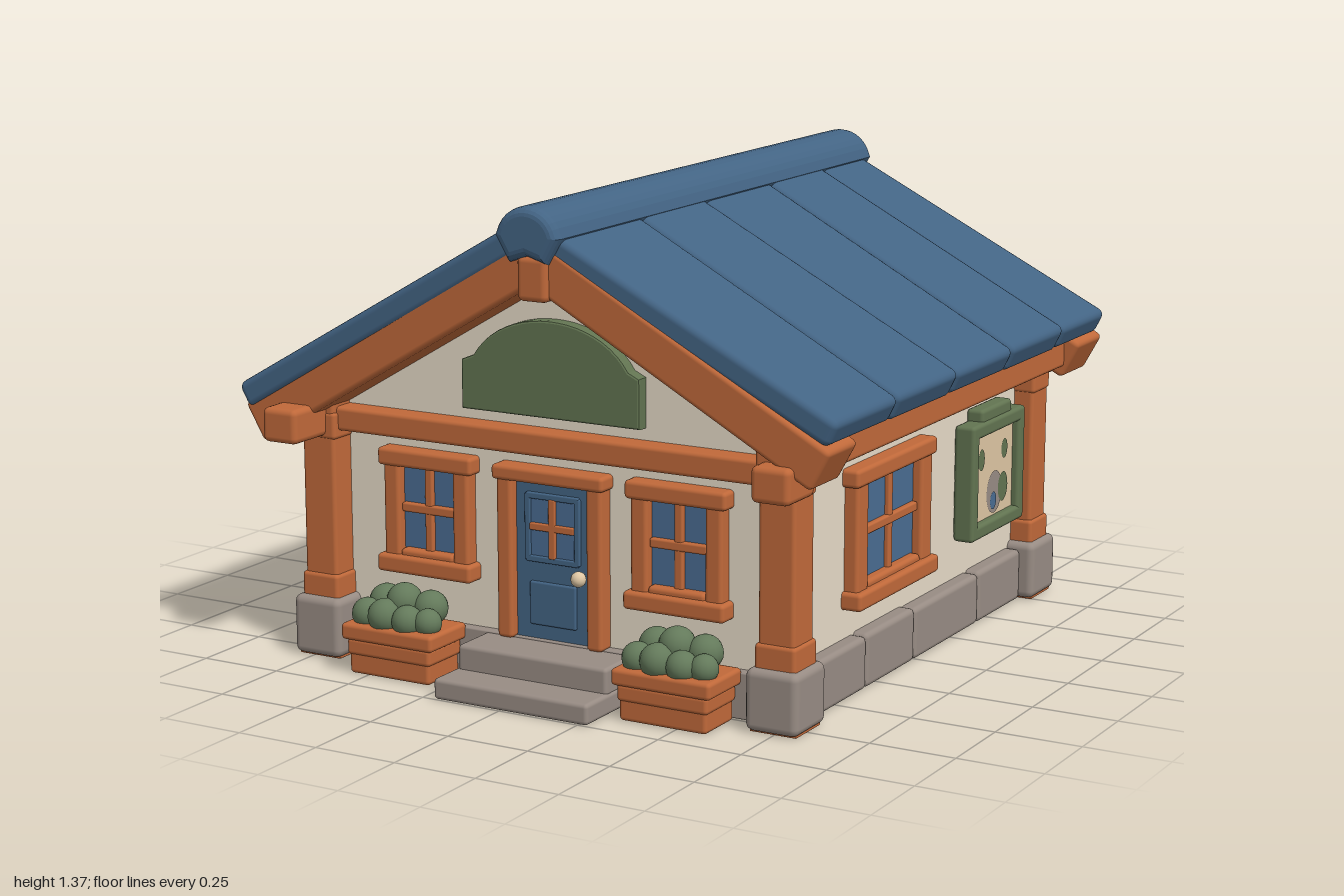
import * as THREE from 'three';
import { RoundedBoxGeometry } from 'three/addons/geometries/RoundedBoxGeometry.js';

const mat = (name, color) => {
  const m = new THREE.MeshStandardMaterial({ color });
  m.name = name;
  return m;
};

export function createModel() {
  const blue = mat('slate blue', 0x436484);
  const glassBlue = mat('glass blue', 0x4a6c92);
  const wood = mat('orange wood', 0xc0693a);
  const plaster = mat('cream plaster', 0xe8dcc9);
  const stone = mat('grey stone', 0x988c84);
  const green = mat('painted green', 0x627451);
  const leaf = mat('leaf green', 0x647a5b);
  const tan = mat('tan panel', 0xdec7a4);

  const house = new THREE.Group();
  house.name = 'cottage';

  const add = (parent, name, geometry, material) => {
    const m = new THREE.Mesh(geometry, material);
    m.name = name;
    parent.add(m);
    return m;
  };
  // Rounded block given by its limits
  const block = (parent, name, material, x0, x1, y0, y1, z0, z1, r = 0.012) => {
    const w = x1 - x0, h = y1 - y0, d = z1 - z0;
    const g = new RoundedBoxGeometry(w, h, d, 2, Math.min(r, Math.min(w, h, d) * 0.45));
    const m = add(parent, name, g, material);
    m.position.set((x0 + x1) / 2, (y0 + y1) / 2, (z0 + z1) / 2);
    return m;
  };
  // Sloping board between two points of the gable plane
  const slope = (name, material, a, b, thick, z0, z1, r) => {
    const len = Math.hypot(b[0] - a[0], b[1] - a[1]);
    const m = block(house, name, material, -len / 2, len / 2, -thick / 2, thick / 2, z0, z1, r);
    m.position.x = (a[0] + b[0]) / 2;
    m.position.y = (a[1] + b[1]) / 2;
    m.rotation.z = Math.atan2(b[1] - a[1], b[0] - a[0]);
    return m;
  };
  const group = (name, x, y, z, turn = 0) => {
    const g = new THREE.Group();
    g.name = name;
    g.position.set(x, y, z);
    g.rotation.y = turn;
    house.add(g);
    return g;
  };

  // Walls with both gables
  const wall = new THREE.Shape([
    [-0.74, 0.05], [0.74, 0.05], [0.74, 0.88], [0.03, 1.25], [-0.74, 0.81],
  ].map(p => new THREE.Vector2(...p)));
  add(house, 'walls', new THREE.ExtrudeGeometry(wall, { depth: 1.52, bevelEnabled: false }), plaster)
    .position.z = -0.8;

  // Foundation: core, side blocks, back blocks
  block(house, 'foundationCore', stone, -0.76, 0.76, 0.003, 0.135, -0.82, 0.75, 0.005);
  const sideCuts = [0.66, 0.33, 0.02, -0.42, -0.73];
  const backCuts = [-0.68, -0.36, 0.02, 0.36, 0.68];
  for (let i = 0; i < 4; i++) {
    for (const s of [-1, 1]) {
      const x = s * 0.745;
      block(house, 'foundationSideStone', stone, x - 0.04, x + 0.04, 0.002, 0.155 + (i % 2) * 0.004,
        sideCuts[i + 1], sideCuts[i], 0.016);
    }
    block(house, 'foundationBackStone', stone, backCuts[i], backCuts[i + 1], 0.002, 0.155 + (i % 2) * 0.004,
      -0.85, -0.77, 0.016);
  }

  // Corner stones, posts and projecting beam ends
  for (const s of [-1, 1]) {
    for (const front of [true, false]) {
      const x = s * 0.738 + 0.008, z = front ? 0.745 : -0.815;
      block(house, 'postFoot', wood, x - 0.07, x + 0.07, 0, 0.02, z - 0.07, z + 0.07, 0.002);
      block(house, 'cornerStone', stone, x - 0.08, x + 0.08, 0.004, 0.178, z - 0.088, z + 0.088, 0.022);
      block(house, 'postBase', wood, x - 0.062, x + 0.062, 0.165, 0.245, z - 0.065, z + 0.065);
      block(house, 'post', wood, x - 0.055, x + 0.055, 0.2, 0.76, z - 0.057, z + 0.057);
      const reach = front ? (s < 0 ? 0.95 : 0.9) : -0.99;
      const lift = front ? 0 : 0.045;
      block(house, 'beamEnd', wood, x + s * 0.028 - 0.058, x + s * 0.028 + 0.058, 0.65 + lift, 0.75 + lift,
        Math.min(reach, z), Math.max(reach, z), 0.018);
      block(house, 'postHead', wood, x - 0.06, x + 0.06, 0.64, 0.72, z - 0.06, z + 0.06);
    }
  }
  block(house, 'frontTieBeam', wood, -0.7, 0.7, 0.665, 0.735, 0.7, 0.785);
  block(house, 'backTieBeam', wood, -0.7, 0.7, 0.67, 0.72, -0.85, -0.78);

  // Boxed eaves between wall and roof edge
  block(house, 'eaveBoxLeft', wood, 0.7, 0.885, 0.727, 0.815, -0.9, 0.84);
  block(house, 'eaveBoxRight', wood, -0.885, -0.7, 0.69, 0.775, -0.9, 0.84);

  // Gable boards and ridge beam ends
  for (const [z0, z1] of [[0.7, 0.868], [-0.975, -0.79]]) {
    slope('gableBoardRight', wood, [-0.905, 0.68], [0.04, 1.235], 0.125, z0, z1, 0.015);
    slope('gableBoardLeft', wood, [0.905, 0.745], [0.02, 1.23], 0.125, z0, z1, 0.015);
  }
  block(house, 'ridgeBeamFront', wood, -0.005, 0.09, 1.115, 1.24, 0.68, 0.885, 0.018);
  block(house, 'ridgeBeamBack', wood, -0.015, 0.09, 1.11, 1.24, -0.985, -0.78, 0.018);

  // Roof slabs: five per side, with seams that drift between eave and ridge
  const slabs = (name, eave, ridge, eaveCuts, ridgeCuts) => {
    for (let i = 0; i < 5; i++) {
      const m = slope(name, blue, eave, ridge, 0.08 + (i % 2) * 0.006, -0.5, 0.5, 0.022);
      const p = m.geometry.attributes.position;
      const half = Math.hypot(ridge[0] - eave[0], ridge[1] - eave[1]) / 2;
      for (let k = 0; k < p.count; k++) {
        const t = (p.getX(k) / half + 1) / 2;
        const z0 = THREE.MathUtils.lerp(eaveCuts[i], ridgeCuts[i], t);
        const z1 = THREE.MathUtils.lerp(eaveCuts[i + 1], ridgeCuts[i + 1], t);
        // Keep the rounded rim narrow while stretching the middle
        const z = p.getZ(k), mid = (z0 + z1) / 2, w = z1 - z0;
        p.setZ(k, mid + Math.sign(z) * (w / 2 - (0.5 - Math.abs(z))));
      }
    }
  };
  slabs('roofSlabRight', [-0.938, 0.752], [0.03, 1.31],
    [-0.965, -0.64, -0.265, 0.125, 0.48, 0.875], [-0.96, -0.665, -0.29, 0.1, 0.43, 0.87]);
  slabs('roofSlabLeft', [0.935, 0.842], [0.04, 1.29],
    [-0.955, -0.635, -0.265, 0.11, 0.49, 0.86], [-0.955, -0.67, -0.33, 0.07, 0.43, 0.865]);

  // Domed ridge cap, widest just above the slabs and narrowing beneath them
  const cap = new THREE.Shape();
  cap.moveTo(-0.042, 1.295);
  cap.bezierCurveTo(-0.02, 1.368, 0.085, 1.368, 0.106, 1.295);
  cap.lineTo(0.08, 1.25);
  cap.lineTo(0.03, 1.265);
  cap.lineTo(-0.015, 1.25);
  cap.closePath();
  add(house, 'ridgeCap', new THREE.ExtrudeGeometry(cap, {
    depth: 1.84, bevelThickness: 0.03, bevelSize: 0.025, bevelSegments: 4, curveSegments: 14,
  }), blue).position.z = -0.97;

  // Windows, built facing +z around their centre
  const makeWindow = (name, x, y, z, turn, w, h, bar) => {
    const g = group(name, x, y, z, turn);
    const a = w / 2, b = h / 2, e = 0.015;
    block(g, 'glass', glassBlue, -a + bar / 2, a - bar / 2, -b + 0.03, b - 0.03, 0, 0.012, 0.002);
    for (const s of [-1, 1]) {
      const c = s * (a - e - (bar - e) / 2), hw = (bar - e) / 2;
      block(g, 'jamb', wood, c - hw, c + hw, -b + 0.02, b - 0.02, -0.02, 0.042);
    }
    block(g, 'header', wood, -a, a, b - 0.052, b, -0.02, 0.05);
    block(g, 'sill', wood, -a, a, -b, -b + 0.052, -0.02, 0.06);
    block(g, 'innerSill', wood, -a + bar, a - bar, -b + 0.04, -b + 0.07, -0.02, 0.04);
    block(g, 'uprightBar', wood, -0.013, 0.013, -b + 0.04, b - 0.04, 0, 0.026, 0.006);
    block(g, 'crossBar', wood, -a + bar, a - bar, -0.005, 0.022, 0, 0.028, 0.006);
  };
  makeWindow('frontWindowRight', -0.393, 0.45, 0.72, 0, 0.315, 0.36, 0.068);
  makeWindow('frontWindowLeft', 0.417, 0.45, 0.72, 0, 0.315, 0.36, 0.068);
  makeWindow('sideWindowLeft', 0.74, 0.44, 0.15, Math.PI / 2, 0.51, 0.4, 0.085);
  makeWindow('sideWindowRightFront', -0.74, 0.44, 0.15, -Math.PI / 2, 0.51, 0.4, 0.085);
  makeWindow('sideWindowRightBack', -0.74, 0.44, -0.46, -Math.PI / 2, 0.38, 0.4, 0.075);

  // Door with frame, small window, lower panel and knob
  const door = group('door', 0.018, 0, 0.72);
  block(door, 'doorLeaf', blue, -0.125, 0.125, 0.13, 0.59, 0, 0.02, 0.005);
  block(door, 'doorGlass', glassBlue, -0.075, 0.075, 0.37, 0.54, 0.015, 0.023, 0.002);
  block(door, 'doorHeader', wood, -0.18, 0.18, 0.585, 0.628, -0.02, 0.06);
  for (const s of [-1, 1]) {
    block(door, 'doorJamb', wood, s * 0.145 - 0.025, s * 0.145 + 0.025, 0.13, 0.6, -0.02, 0.05);
    block(door, 'doorWindowSide', blue, s * 0.08 - 0.009, s * 0.08 + 0.009, 0.36, 0.55, 0.015, 0.03, 0.004);
    block(door, 'doorWindowRail', blue, -0.085, 0.085, 0.455 + s * 0.09 - 0.009, 0.455 + s * 0.09 + 0.009, 0.015, 0.03, 0.004);
  }
  block(door, 'doorUprightBar', wood, -0.011, 0.011, 0.37, 0.54, 0.015, 0.032, 0.004);
  block(door, 'doorCrossBar', wood, -0.072, 0.072, 0.447, 0.468, 0.015, 0.032, 0.004);
  block(door, 'doorPanel', blue, -0.075, 0.075, 0.175, 0.3, 0.015, 0.029, 0.006);
  add(door, 'doorKnob', new THREE.SphereGeometry(0.022, 16, 12), tan).position.set(0.095, 0.33, 0.045);

  // Blank arched gable sign
  const sign = new THREE.Shape();
  sign.moveTo(-0.262, 0.775);
  sign.lineTo(0.297, 0.775);
  sign.lineTo(0.297, 0.905);
  sign.lineTo(0.265, 0.92);
  sign.bezierCurveTo(0.17, 1.075, -0.13, 1.075, -0.225, 0.92);
  sign.lineTo(-0.262, 0.905);
  sign.closePath();
  add(house, 'gableSign', new THREE.ExtrudeGeometry(sign, {
    depth: 0.03, bevelThickness: 0.008, bevelSize: 0.006, bevelSegments: 2, curveSegments: 20,
  }), green).position.z = 0.72;

  // Notice board on the side wall
  const board = group('noticeBoard', 0.74, 0, -0.51, Math.PI / 2);
  block(board, 'boardBacking', green, -0.18, 0.18, 0.28, 0.61, -0.01, 0.035);
  block(board, 'boardPanel', tan, -0.147, 0.147, 0.305, 0.58, 0.03, 0.042, 0.003);
  for (const s of [-1, 1]) {
    block(board, 'boardSide', green, s * 0.165 - 0.022, s * 0.165 + 0.022, 0.27, 0.62, 0, 0.065);
    block(board, 'boardRail', green, -0.187, 0.187, 0.445 + s * 0.153 - 0.022, 0.445 + s * 0.153 + 0.022, 0, 0.065);
  }
  block(board, 'boardTop', green, -0.105, 0.105, 0.605, 0.655, 0, 0.055);
  const patch = (name, material, x, y, rx, ry, z) => {
    const m = add(board, name, new THREE.CircleGeometry(1, 20), material);
    m.position.set(x, y, z);
    m.scale.set(rx, ry, 1);
  };
  patch('leafPatch', green, -0.085, 0.5, 0.022, 0.033, 0.044);
  patch('leafPatch', green, 0.08, 0.505, 0.022, 0.03, 0.044);
  patch('rockPatch', stone, 0.01, 0.385, 0.055, 0.065, 0.044);
  patch('leafPatch', green, 0.07, 0.39, 0.035, 0.045, 0.045);
  patch('pondPatch', glassBlue, 0.0, 0.36, 0.022, 0.027, 0.046);

  // Front steps
  block(house, 'lowerStep', stone, -0.215, 0.28, 0, 0.06, 0.7, 1, 0.012);
  block(house, 'upperStep', stone, -0.205, 0.275, 0.05, 0.13, 0.7, 0.89, 0.012);

  // Planters with clustered shrubs
  const clumps = [
    [-0.1, 0.17, 0.03, 0.045], [-0.03, 0.175, 0.045, 0.05], [0.045, 0.17, 0.045, 0.045], [0.105, 0.17, 0.03, 0.04],
    [-0.075, 0.195, -0.03, 0.05], [0.0, 0.21, -0.01, 0.052], [0.075, 0.195, -0.03, 0.05],
  ];
  for (const x of [-0.425, 0.46]) {
    const p = group('planter', x, 0, 0.835);
    block(p, 'planterBox', wood, -0.135, 0.135, 0, 0.12, -0.08, 0.075);
    block(p, 'planterBand', wood, -0.14, 0.14, 0.055, 0.105, -0.085, 0.08);
    block(p, 'planterRim', wood, -0.153, 0.153, 0.1, 0.148, -0.095, 0.09);
    for (const [cx, cy, cz, r] of clumps) {
      add(p, 'shrub', new THREE.SphereGeometry(r, 16, 12), leaf).position.set(cx, cy, cz);
    }
  }

  return house;
}
